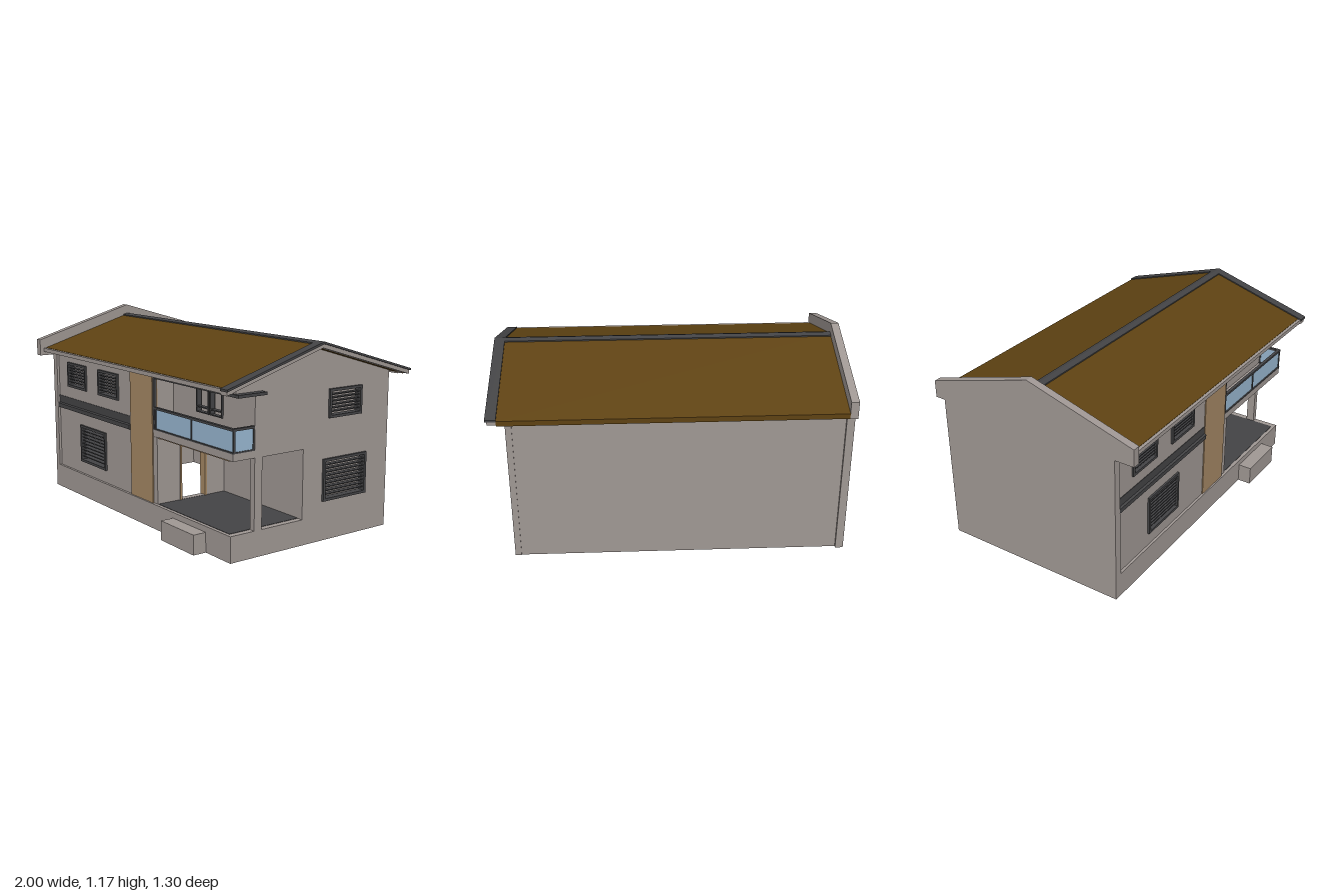
import * as THREE from 'three';

const mat = (name, color) => {
  const m = new THREE.MeshStandardMaterial({ color });
  m.name = name;
  return m;
};

export function createModel() {
  const house = new THREE.Group();
  house.name = 'house';
  const plaster = mat('grey plaster', 0x9f9793);
  const dark = mat('dark trim', 0x434345);
  const brown = mat('brown roof', 0x5e4212);
  const tan = mat('tan wood', 0xa38663);
  const blue = mat('blue glass', 0x98b6d0);

  const add = (name, geo, material, parent = house) => {
    const m = new THREE.Mesh(geo, material);
    m.name = name;
    parent.add(m);
    return m;
  };
  // Box given by its low and high limits on each axis
  const box = (name, material, x0, x1, y0, y1, z0, z1, parent) => {
    const g = new THREE.BoxGeometry(x1 - x0, y1 - y0, z1 - z0);
    g.translate((x0 + x1) / 2, (y0 + y1) / 2, (z0 + z1) / 2);
    return add(name, g, material, parent);
  };
  const rect = (u0, u1, v0, v1) => [[u0, v0], [u1, v0], [u1, v1], [u0, v1]];
  const extrude = (points, holes, depth) => {
    const toV = (p) => p.map(([u, v]) => new THREE.Vector2(u, v));
    const s = new THREE.Shape(toV(points));
    holes.forEach((h) => s.holes.push(new THREE.Path(toV(h))));
    return new THREE.ExtrudeGeometry(s, { depth, bevelEnabled: false });
  };
  // Panel facing the front, spanning z0 to z1
  const frontPanel = (name, material, points, holes, z0, z1) =>
    add(name, extrude(points, holes, z1 - z0).translate(0, 0, z0), material);
  // Panel facing the side, drawn in (z, y), spanning x0 to x1
  const sidePanel = (name, material, points, holes, x0, x1) =>
    add(name, extrude(points, holes, x1 - x0).rotateY(-Math.PI / 2).translate(x1, 0, 0), material);

  // Window openings
  const frontWindows = [
    { r: [-0.67, -0.36, 0.225, 0.46], n: 9 },
    { r: [-0.825, -0.59, 0.685, 0.842], n: 6 },
    { r: [-0.44, -0.205, 0.685, 0.842], n: 6 },
  ];
  const sideWindows = [
    { r: [-0.41, -0.09, 0.225, 0.462], n: 9 },
    { r: [-0.365, -0.125, 0.685, 0.845], n: 6 },
  ];
  // Hole slightly inside the outer edge of the frame
  const hole = ({ r: [a, b, c, d] }) => rect(a + 0.008, b - 0.008, c + 0.008, d - 0.008);

  // Shell walls
  const roofY = (z, top) => top - 0.3 * Math.abs(z);
  sidePanel('rightWall', plaster, [
    [-0.58, 0], [0.535, 0], [0.535, 0.145], [0.38, 0.145], [0.38, 0.88], [0.505, 0.88],
    [0.505, roofY(0.505, 1.08)], [0, 1.08], [-0.58, roofY(0.58, 1.08)],
  ], [rect(0.05, 0.33, 0.145, 0.535), ...sideWindows.map(hole)], 0.87, 0.905);
  sidePanel('leftGableWall', plaster, [
    [-0.59, 0], [0.535, 0], [0.535, 0.88], [0.65, 0.88], [0.65, 0.98], [0, 1.172],
    [-0.65, 0.98], [-0.65, 0.88], [-0.59, 0.88],
  ], [], -1, -0.955);
  box('backWall', plaster, -0.955, 0.88, 0, 0.915, -0.575, -0.545);
  box('frontBase', plaster, -0.955, 0.87, 0, 0.145, 0.5, 0.535);
  box('frontStep', plaster, 0.38, 0.69, 0, 0.112, 0.535, 0.615);
  frontPanel('frontWall', plaster, rect(-0.955, -0.07, 0.145, 0.925), frontWindows.map(hole), 0.49, 0.52);
  box('woodPanel', tan, -0.07, 0.165, 0.145, 0.92, 0.49, 0.526);

  // Dark ledge between the storeys
  sidePanel('frontLedge', dark,
    [[0.475, 0.535], [0.535, 0.535], [0.535, 0.56], [0.523, 0.565], [0.523, 0.612], [0.475, 0.612]],
    [], -0.955, -0.07);

  // Porch: floor, walls, doorway and ceiling
  box('porchFloor', dark, 0.165, 0.87, 0.13, 0.147, 0.04, 0.515);
  sidePanel('porchDoorWall', plaster, rect(0.04, 0.52, 0.147, 0.535),
    [rect(0.185, 0.365, 0.148, 0.472)], 0.165, 0.205);
  sidePanel('doorFrame', tan,
    [[0.18, 0.147], [0.192, 0.147], [0.192, 0.463], [0.355, 0.463], [0.355, 0.147],
      [0.367, 0.147], [0.367, 0.475], [0.18, 0.475]], [], 0.16, 0.21);
  box('porchBackWall', plaster, 0.165, 0.87, 0.13, 0.535, 0.025, 0.05);
  box('porchCeiling', tan, 0.205, 0.87, 0.53, 0.536, 0.05, 0.515);

  // Balcony
  const balcony = new THREE.Group();
  balcony.name = 'balcony';
  house.add(balcony);
  box('balconyFloor', plaster, 0.165, 0.87, 0.536, 0.575, 0.04, 0.52, balcony);
  box('balconyFloorEnd', plaster, 0.87, 0.905, 0.536, 0.575, 0.38, 0.52, balcony);
  box('balconyLeftWall', plaster, 0.14, 0.165, 0.535, 0.92, 0.35, 0.49, balcony);
  frontPanel('balconyBackWall', plaster, rect(0.165, 0.87, 0.575, 0.95),
    [rect(0.4, 0.515, 0.7, 0.865), rect(0.525, 0.635, 0.7, 0.865)], 0.35, 0.38);
  box('balconyHeader', plaster, 0.165, 0.87, 0.882, 0.925, 0.48, 0.505, balcony);
  box('balconyCanopy', dark, 0.165, 0.945, 0.866, 0.882, 0.335, 0.52, balcony);
  box('frontGlass', blue, 0.19, 0.9, 0.58, 0.695, 0.508, 0.514, balcony);
  box('sideGlass', blue, 0.895, 0.901, 0.58, 0.695, 0.39, 0.514, balcony);
  for (const [y0, y1] of [[0.575, 0.583], [0.692, 0.705]]) {
    box('frontRail', dark, 0.18, 0.906, y0, y1, 0.503, 0.522, balcony);
    box('sideRail', dark, 0.888, 0.906, y0, y1, 0.38, 0.503, balcony);
  }
  box('tallPost', dark, 0.165, 0.18, 0.575, 0.87, 0.505, 0.522, balcony);
  for (const x of [0.18, 0.53, 0.897])
    box('railPost', dark, x, x + 0.009, 0.575, 0.7, 0.505, 0.519, balcony);
  box('sideRailPost', dark, 0.893, 0.905, 0.575, 0.7, 0.382, 0.391, balcony);
  for (const [a, b] of [[0.4, 0.515], [0.525, 0.635]]) {
    frontPanel('balconyWindowFrame', dark, rect(a, b, 0.7, 0.866),
      [rect(a + 0.007, b - 0.007, 0.735, 0.859), rect(a + 0.007, b - 0.007, 0.706, 0.728)], 0.36, 0.39);
  }

  // Louvred windows: a frame and a ladder of thin slats
  const louvre = ({ r: [a, b, c, d], n }, panel, slatBox, outer) => {
    const f = 0.015;
    panel('windowFrame', dark, rect(a, b, c, d), [rect(a + f, b - f, c + f, d - f)], outer - 0.045, outer);
    for (let i = 1; i <= n; i++) {
      const y = c + f + ((d - c - 2 * f) * i) / (n + 1);
      slatBox(a + f, b - f, y - 0.003, y + 0.003, outer - 0.038, outer - 0.008);
    }
  };
  frontWindows.forEach((w) => louvre(w, frontPanel,
    (a, b, y0, y1, o0, o1) => box('windowSlat', dark, a, b, y0, y1, o0, o1), 0.532));
  sideWindows.forEach((w) => louvre(w, sidePanel,
    (a, b, y0, y1, o0, o1) => box('windowSlat', dark, o0, o1, y0, y1, a, b), 0.918));

  // Roof layers: chevrons of even thickness drawn along x
  const chevron = (name, material, zBack, zFront, top, thick, x0, x1) => sidePanel(name, material, [
    [zBack, roofY(zBack, top - thick)], [0, top - thick], [zFront, roofY(zFront, top - thick)],
    [zFront, roofY(zFront, top)], [0, top], [zBack, roofY(zBack, top)],
  ], [], x0, x1);
  chevron('roofTiles', brown, -0.655, 0.607, 1.11, 0.03, -0.955, 0.94);
  chevron('ridgeCap', dark, -0.03, 0.03, 1.117, 0.012, -0.955, 0.945);
  chevron('vergeCap', dark, -0.655, 0.63, 1.117, 0.012, 0.94, 1);
  chevron('vergeBoard', plaster, -0.65, 0.625, 1.105, 0.022, 0.94, 0.99);
  // Eave boards along both long sides
  box('frontEave', plaster, -0.955, 0.99, 0.903, 0.926, 0.585, 0.625);
  box('backEave', plaster, -0.955, 0.94, 0.888, 0.905, -0.645, -0.61);

  return house;
}
